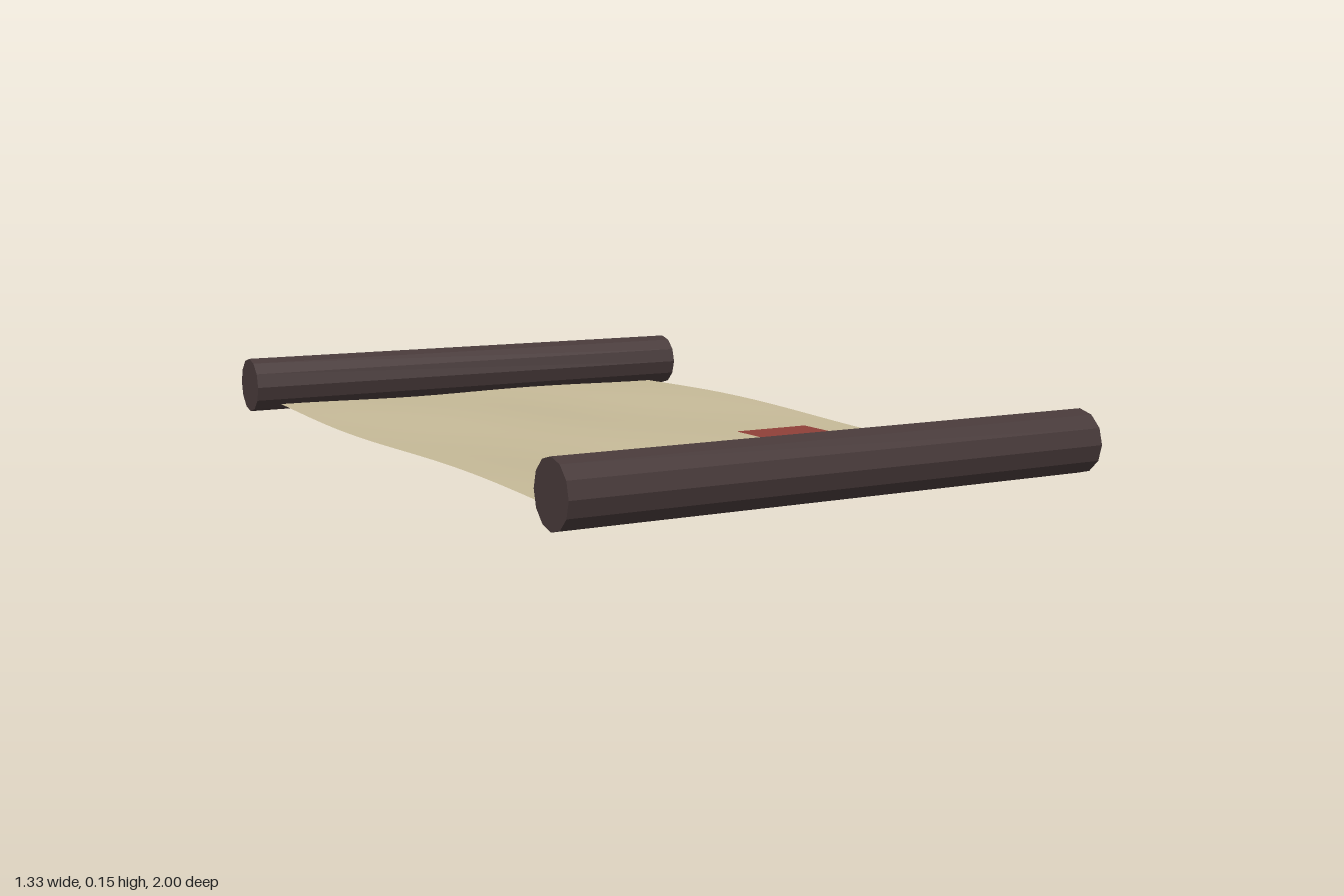
import * as THREE from 'three';

const parchment = new THREE.MeshStandardMaterial({ name: 'parchment', color: 0xc6ba98, side: THREE.DoubleSide });
const darkWood = new THREE.MeshStandardMaterial({ name: 'darkWood', color: 0x483a3a, flatShading: true });
const sealRed = new THREE.MeshStandardMaterial({ name: 'sealRed', color: 0x904039, side: THREE.DoubleSide });

const ROLLER_RADIUS = 0.0735;
const ROLLER_LENGTH = 1.33;

// Twelve-sided rod lying along x
function makeRoller(name, z) {
  const geometry = new THREE.CylinderGeometry(ROLLER_RADIUS, ROLLER_RADIUS, ROLLER_LENGTH, 12);
  geometry.rotateZ(Math.PI / 2);
  const roller = new THREE.Mesh(geometry, darkWood);
  roller.name = name;
  roller.position.set(0, ROLLER_RADIUS, z);
  return roller;
}

// Unrolled sheet with gentle ripples
function makeSheet() {
  const geometry = new THREE.PlaneGeometry(1.185, 1.78, 20, 30);
  geometry.rotateX(-Math.PI / 2);
  const position = geometry.attributes.position;
  for (let i = 0; i < position.count; i++) {
    const ripple = Math.sin(position.getX(i) * 8) * Math.sin(position.getZ(i) * 4);
    position.setY(i, 0.018 + 0.008 * ripple);
  }
  geometry.computeVertexNormals();
  const sheet = new THREE.Mesh(geometry, parchment);
  sheet.name = 'sheet';
  return sheet;
}

// Square stamp lying just above the sheet
function makeSeal() {
  const geometry = new THREE.PlaneGeometry(0.2, 0.2);
  geometry.rotateX(-Math.PI / 2);
  const seal = new THREE.Mesh(geometry, sealRed);
  seal.name = 'seal';
  seal.position.set(0.275, 0.042, 0.37);
  return seal;
}

export function createModel() {
  const scroll = new THREE.Group();
  scroll.name = 'scroll';
  const rollerZ = 1 - ROLLER_RADIUS;
  scroll.add(
    makeSheet(),
    makeSeal(),
    makeRoller('frontRoller', rollerZ),
    makeRoller('backRoller', -rollerZ),
  );
  return scroll;
}
